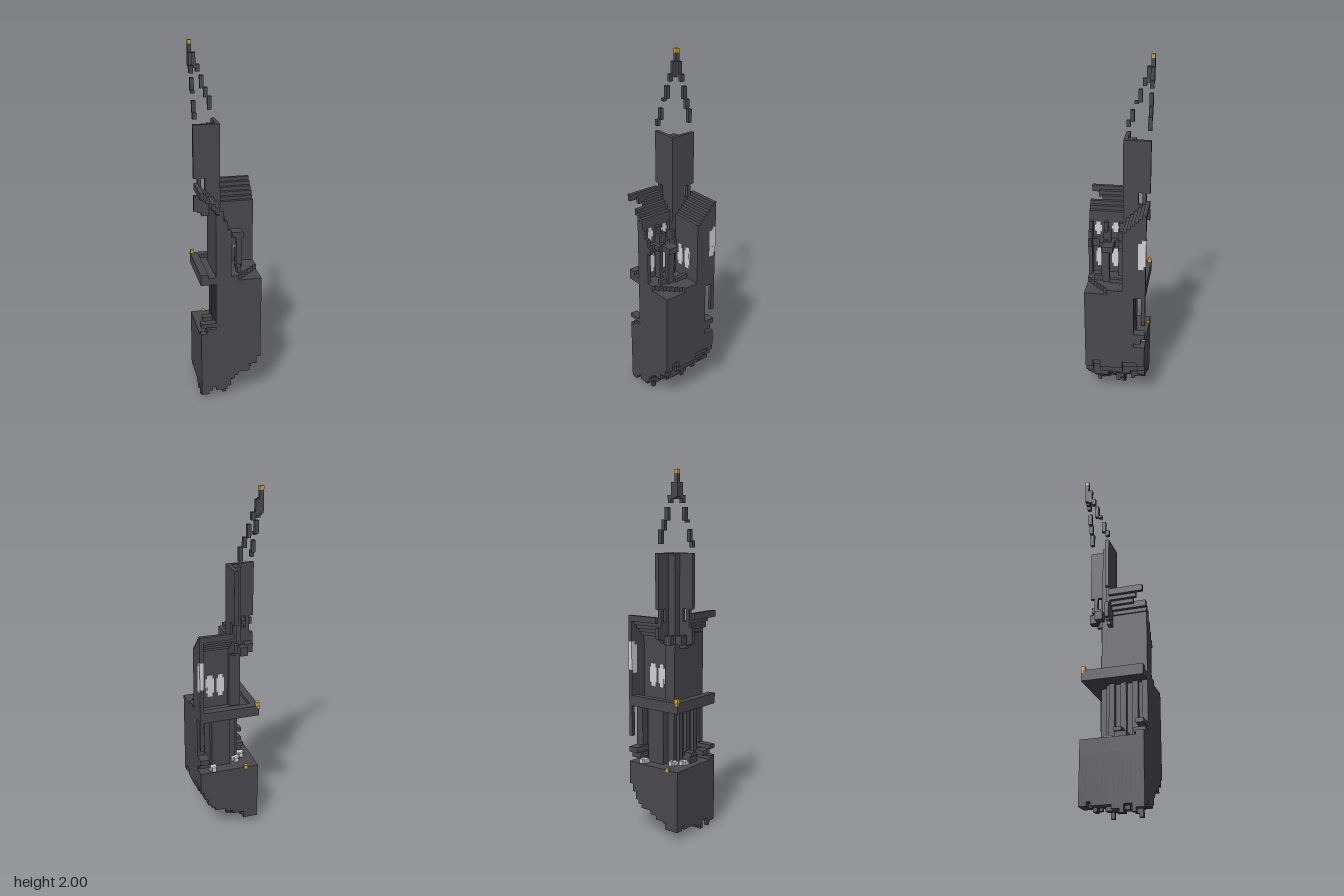
import * as THREE from 'three';

const U = 2 / 93; // one block
const mat = (name, hex) => {
  const m = new THREE.MeshStandardMaterial({ color: hex });
  m.name = name;
  return m;
};

export function createModel() {
  const root = new THREE.Group();
  root.name = 'towerQuarter';
  const stone = mat('darkStone', 0x49484e);
  const glass = mat('paleGlass', 0xd2d2d2);
  const gold = mat('gold', 0xd6a62e);

  // Box from block columns i (x), k (z) and heights y
  function box(name, i0, i1, y0, y1, k0, k1, m = stone) {
    const mesh = new THREE.Mesh(new THREE.BoxGeometry((i1 - i0) * U, y1 - y0, (k1 - k0) * U), m);
    mesh.position.set(((i0 + i1) / 2 - 8) * U, (y0 + y1) / 2, ((k0 + k1) / 2 - 8) * U);
    mesh.name = name;
    root.add(mesh);
  }

  // Ragged rock underside: columns rise towards +x
  const hash = (a, b) => {
    const s = Math.sin(a * 127.1 + b * 311.7) * 43758.5453;
    return s - Math.floor(s);
  };
  const rise = [1, 1, 1, 1, 1, 1, 1, 2, 3, 4, 5, 5, 6, 7, 9, 11];
  const spikes = ['0,13', '0,10', '6,6', '6,13'];
  for (let i = 0; i < 16; i++) {
    for (let k = 0; k < 16; k++) {
      let r = rise[i] + Math.floor(hash(i >> 1, k >> 1) * (i > 2 ? 3 : 2));
      if (k < 6 && k !== 3 && i < 9) r += 1;
      if (hash(i + 9, k + 4) > 0.85 && i > 6 && i < 13) r -= 1;
      if (spikes.includes(`${i},${k}`)) r = 0;
      box('rockColumn', i, i + 1, r * U, 0.31, k, k + 1);
    }
  }
  box('baseBlock', 0, 16, 0.3, 0.39, 0, 16);

  // Lower storey
  box('lowerBody', 5, 16, 0.39, 0.73, 5, 16);
  box('rearPier', 7, 12, 0.39, 0.73, 3, 5);
  box('cornerPier', 14, 16, 0.39, 0.73, 3, 5);
  for (const k of [6, 9, 12, 14.5]) box('sidePier', 4, 5, 0.39, 0.73, k, k + 1.5);
  box('hangingStrut', 15, 16, 0.54, 0.72, 0, 1);
  // Stepped plates at the two open ends
  box('sidePlate', 0, 5, 0.39, 0.412, 14, 16);
  box('sidePlate', 1.5, 5, 0.412, 0.44, 13, 16);
  box('sidePlate', 0, 5, 0.452, 0.476, 14, 16);
  box('rearPlate', 13, 16, 0.412, 0.445, 1, 5);
  box('rearPlate', 13.5, 16, 0.445, 0.476, 0, 5);
  // Rubble on the lower floor
  box('rubble', 2, 5, 0.39, 0.43, 8, 11);
  box('rubble', 1.5, 4, 0.43, 0.452, 8, 10);
  for (const [i, k] of [[11.2, 1], [4, 4], [2, 6]]) {
    box('paleRubble', i, i + 2, 0.39, 0.41, k, k + 1.5, glass);
    box('paleRubble', i + 0.5, i + 1.5, 0.39, 0.415, k - 0.8, k, glass);
  }
  box('goldBit', 3, 3.8, 0.38, 0.4, -0.05, 0.8, gold);

  // Main floor slab with its gold corner
  box('floorSlab', 0, 16, 0.715, 0.755, 0, 7);
  box('floorSlab', 0, 7, 0.715, 0.755, 7, 16);
  box('floorRim', 0, 16, 0.755, 0.775, 0, 2);
  box('floorRim', 0, 2, 0.755, 0.775, 2, 16);
  box('floorGold', 0, 1, 0.775, 0.797, 0, 1, gold);
  box('floorGold', -0.05, 0.5, 0.76, 0.775, -0.05, 0.5, gold);
  // Terrace with a stepped chamfer
  for (let k = 7; k < 16; k++) {
    box('terraceRow', 6, k < 10 ? 16 : 16 - Math.ceil((k - 9) * 0.9), 0.725, 0.757, k, k + 1);
  }

  // Wing walls
  box('rearWingWall', 7, 16, 0.75, 1.12, 5, 6);
  box('rearWingEndWall', 15, 16, 0.75, 1.13, 0, 5);
  for (let k = 0; k < 5; k++) box('gableStep', 15, 16, 1.12, 1.21 - k * U, k, k + 1);
  box('sideWingWall', 4, 6, 0.75, 1.12, 7, 16);

  // Two half-gable roofs, one stepped plank per block; two side planks are broken off
  const sideEnd = [16, 14, 13, 16, 16, 16];
  for (let n = 0; n < 6; n++) {
    const t = (57 - n) * U;
    box('rearRoofPlank', 7, 16, t - 1.5 * U, t, n, n + 1);
    box('sideRoofPlank', n, n + 1, t - 0.7 * U, t + U, 7, sideEnd[n]);
  }

  // Windows, as rounded plates on the wall faces
  function addWindow(along, a0, a1, y0, y1, faces) {
    for (const face of faces) {
      for (const [e, h, d] of [[0, U, 0.03], [0.4, 0, 0.05]]) {
        const a = [a0 + e, a1 - e], s = [face - d, face + d];
        if (along === 'x') box('window', ...a, y0 + h, y1 - h, ...s, glass);
        else box('window', ...s, y0 + h, y1 - h, ...a, glass);
      }
    }
  }
  addWindow('x', 8, 10.1, 0.82, 0.95, [5, 6]);
  addWindow('x', 10.8, 13, 0.82, 0.95, [5, 6]);
  addWindow('z', 8, 10.1, 0.795, 0.91, [6]);
  addWindow('z', 12.2, 14.3, 0.795, 0.91, [6]);
  addWindow('z', 8.1, 10, 1.015, 1.075, [6]);
  addWindow('z', 12.7, 14.5, 0.995, 1.075, [6]);
  // Half window at the end of the rear wing, cut open at the back
  box('endWindow', 14.96, 16.04, 0.92, 1.08, -0.04, 1, glass);
  box('endWindow', 14.97, 16.03, 0.9, 1.06, 0.5, 2, glass);

  // Stepped buttresses and a broken gallery on the side wing
  for (const k of [7, 11, 15]) {
    box('buttress', 6, 7, 0.75, 1.08, k, k + 1);
    box('buttress', 7, 8, 0.75, 1.03, k, k + 1);
    box('buttressBracket', 8, 9, 0.945, 0.985, k, k + 1);
  }
  box('galleryBand', 6, 7, 0.93, 0.975, 7, 16);
  box('galleryBeam', 7, 9, 0.945, 0.975, 9, 13);
  box('galleryPost', 7, 8, 0.97, 1.04, 10, 11);
  // Broken columns on the terrace
  box('brokenColumn', 10.2, 11.5, 0.75, 0.95, 10, 12);
  box('columnCap', 9, 12, 0.945, 0.98, 9, 12);
  box('columnStump', 10, 11, 0.75, 0.79, 12, 14);
  box('terraceCurb', 11, 12, 0.75, 0.78, 6, 10);

  // Corner post and bell tower
  box('cornerPost', 4, 7, 0.75, 1.565, 4, 7);
  box('towerWall', 6, 7, 1.27, 1.57, 0, 7);
  box('towerWall', 0, 7, 1.27, 1.57, 6, 7);
  // Broken arch below each tower wall: cell, bottom, top
  const arch = [[0, 1.08, 1.17], [1, 1.07, 1.27], [2, 1.05, 1.2], [3, 1.05, 1.27]];
  for (const [n, y0, y1] of arch) {
    box('archPiece', n, n + 1, y0, y1, 6, 7);
    box('archPiece', 6, 7, y0 + 0.03, y1, n, n + 1);
  }
  // Hanging fragments inside the tower
  box('hangingFragment', 1, 3, 1.08, 1.13, 3, 5);
  box('hangingFragment', 3, 5, 1.08, 1.13, 1, 3);

  // Broken spire ribs along the two open faces: cell, bottom, top
  const upperRib = [[3, 1.74, 1.81], [2, 1.83, 1.87], [1, 1.85, 1.935]];
  const rearRib = [[5, 1.62, 1.695], [4, 1.69, 1.745], ...upperRib];
  const sideRib = [[6, 1.6, 1.635], [5, 1.63, 1.695], [4, 1.73, 1.745], ...upperRib];
  for (const [n, y0, y1] of rearRib) box('rearSpireRib', n, n + 1, y0, y1, 0, 1);
  for (const [n, y0, y1] of sideRib) box('sideSpireRib', 0, 1, y0, y1, n, n + 1);
  box('spireTip', 0, 1, 1.86, 1.98, 0, 1);
  box('spireFinial', 0, 1, 1.978, 2, 0, 1, gold);

  return root;
}
